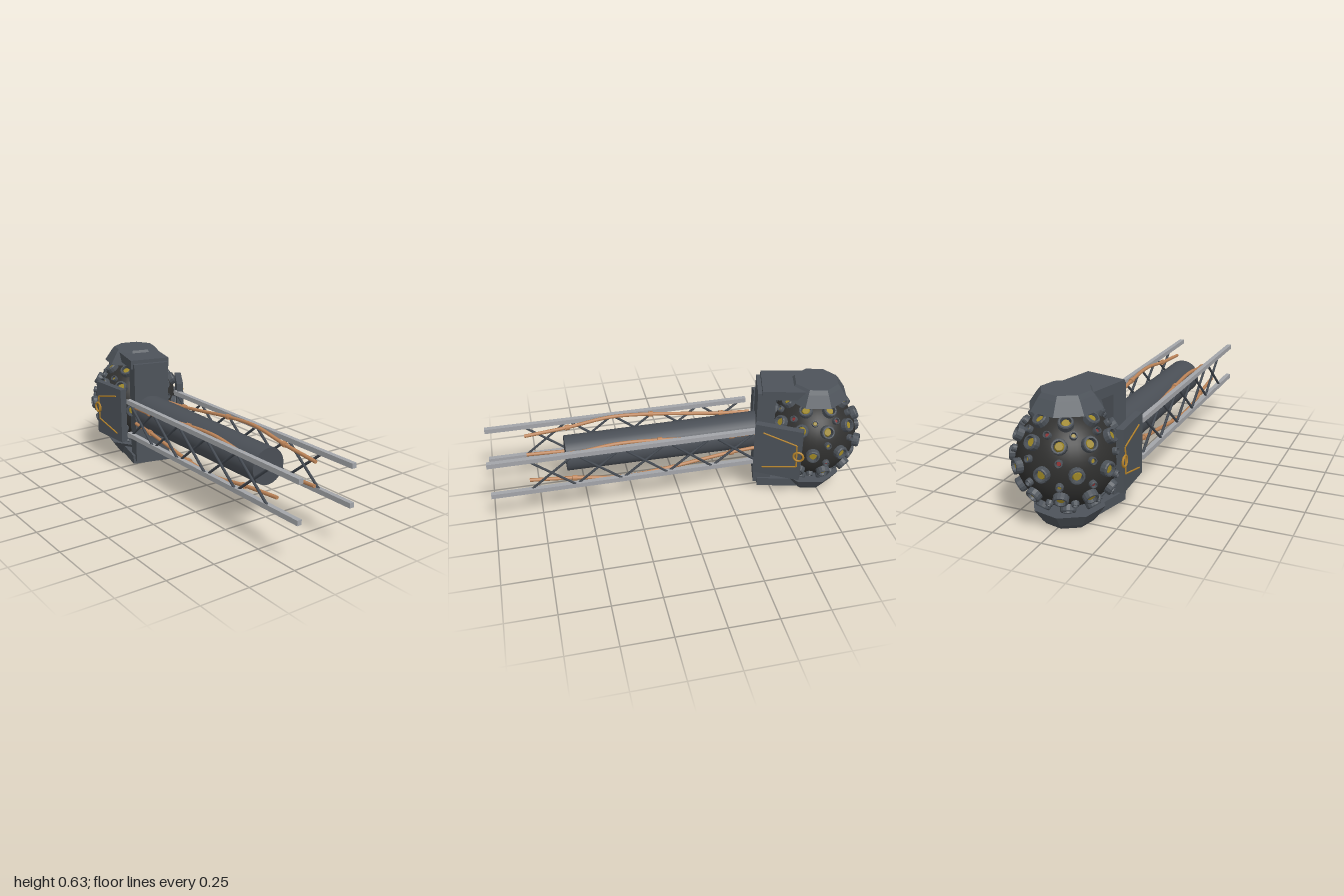
import * as THREE from 'three';

const mat = (name, color, opts = {}) => {
  const m = new THREE.MeshStandardMaterial({ color, ...opts });
  m.name = name;
  return m;
};
const slate = mat('slate armour', 0x4d535a, { flatShading: true });
const slateSmooth = mat('slate barrel', 0x4a4f56);
const hullDark = mat('dark hull', 0x30302f);
const railGrey = mat('rail grey', 0xa3a5a9);
const braceGrey = mat('brace grey', 0x434951);
const copper = mat('copper', 0xbd8458);
const gold = mat('gold trim', 0xb5832a);
const lensYellow = mat('yellow lens', 0x9c8626);
const lensRed = mat('red lens', 0x8c2f30);

const add = (parent, name, geo, material, x = 0, y = 0, z = 0) => {
  const m = new THREE.Mesh(geo, material);
  m.name = name;
  m.position.set(x, y, z);
  parent.add(m);
  return m;
};

// straight round bar between two points
const bar = (parent, name, a, b, r, material, sides = 8) => {
  const d = b.clone().sub(a);
  const m = add(parent, name, new THREE.CylinderGeometry(r, r, d.length(), sides), material);
  m.position.copy(a).add(b).multiplyScalar(0.5);
  m.quaternion.setFromUnitVectors(new THREE.Vector3(0, 1, 0), d.normalize());
  return m;
};
const v = (x, y, z) => new THREE.Vector3(x, y, z);

const CY = 0.3175, BX = -0.075;

// hollow collar standing on the hull, along +y
const collarGeo = new THREE.LatheGeometry(
  [[0.036, 0.215], [0.036, 0.258], [0.032, 0.264], [0.025, 0.264], [0.023, 0.23]]
    .map(([x, y]) => new THREE.Vector2(x, y)), 14);
const lensGeo = new THREE.CylinderGeometry(0.017, 0.025, 0.02, 14).translate(0, 0.243, 0);

function addPort(parent, lat, lon, size, lensMat) {
  const g = new THREE.Group();
  g.name = 'port';
  const dir = v(Math.cos(lat) * Math.sin(lon), Math.sin(lat), Math.cos(lat) * Math.cos(lon));
  g.quaternion.setFromUnitVectors(v(0, 1, 0), dir);
  g.scale.set(size, size < 1 ? 0.97 : 1, size);
  add(g, 'portCollar', collarGeo, slate);
  add(g, 'portLens', lensGeo, lensMat);
  parent.add(g);
}

// spherical body with its ports
function addBody(parent) {
  add(parent, 'sphereHull', new THREE.SphereGeometry(0.236, 40, 28), hullDark);
  const rows = [ // latitude, count, half-step offset, size
    [0, 10, 0, 1], [30, 10, 0.5, 1], [-30, 10, 0.5, 1], [55, 7, 0, 1], [-55, 7, 0, 1],
    [13, 10, 0.5, 0.5], [-13, 10, 0.5, 0.5], [41, 10, 0, 0.5], [-41, 10, 0, 0.5],
  ];
  rows.forEach(([lat, n, off, size]) => {
    for (let i = 0; i < n; i++) {
      const red = size < 1 && (i + (lat > 0 ? 1 : 0)) % 2 === 0;
      addPort(parent, lat * Math.PI / 180, (i + off) / n * Math.PI * 2 + 0.25, size,
        red ? lensRed : lensYellow);
    }
  });
}

// eight-sided cap and the arm that joins it to the front block
function addCap(parent, turn) {
  const g = new THREE.Group();
  g.name = turn ? 'bottomCap' : 'topCap';
  g.rotation.z = turn;
  const oct = (name, rt, rb, y0, y1) => {
    const m = add(g, name, new THREE.CylinderGeometry(rt, rb, y1 - y0, 8), slate, 0, (y0 + y1) / 2, 0);
    m.rotation.y = Math.PI / 8;
  };
  oct('capSkirt', 0.135, 0.175, 0.238, 0.297);
  oct('capTop', 0.118, 0.135, 0.297, 0.3175);
  add(g, 'capArm', new THREE.BoxGeometry(0.22, 0.049, 0.31), slate, 0, 0.28, 0.13);
  parent.add(g);
}

// side shield with inlaid trim
function addShield(parent, turn) {
  const side = new THREE.Group();
  side.name = turn ? 'rightShield' : 'leftShield';
  side.rotation.z = turn;
  const g = new THREE.Group();
  g.position.set(0.2035, 0, 0.195);
  g.rotation.y = -0.295;
  add(g, 'shieldPlate', new THREE.BoxGeometry(0.036, 0.305, 0.25), slate);
  const pts = [[0.11, 0.08], [0.066, -0.1], [-0.066, -0.106], [-0.107, 0.075]]
    .map(([y, z]) => v(0.019, y, z));
  for (let i = 0; i < 3; i++) bar(g, 'shieldTrim', pts[i], pts[i + 1], 0.0045, gold, 6);
  const ring = add(g, 'shieldRing', new THREE.TorusGeometry(0.026, 0.006, 8, 18), gold, 0.02, 0, -0.113);
  ring.rotation.y = Math.PI / 2;
  side.add(g);
  parent.add(side);
}

// square rails with crossed bracing
function addTruss(parent, x) {
  const g = new THREE.Group();
  g.name = x > 0 ? 'leftTruss' : 'rightTruss';
  const h = 0.095, bays = 5, z0 = 0.8, step = 0.24;
  [h, -h].forEach(y =>
    add(g, 'rail', new THREE.BoxGeometry(0.025, 0.025, 1.42), railGrey, x, CY + y, 0.29));
  for (let i = 0; i < bays; i++) {
    const a = z0 - i * step, b = a - step;
    bar(g, 'brace', v(x + 0.005, CY + h, a), v(x + 0.005, CY - h, b), 0.007, braceGrey, 6);
    bar(g, 'brace', v(x - 0.005, CY - h, a), v(x - 0.005, CY + h, b), 0.007, braceGrey, 6);
  }
  parent.add(g);
}

// bent conduit with clamps; sx and sy choose the quadrant around the barrel
function addConduit(parent, sx, sy) {
  const g = new THREE.Group();
  g.name = 'conduit';
  const pts = [ // offset x, offset y, z
    [0.113, 0.06, 0.8], [0.121, 0.077, 0.57], [0.126, 0.106, 0.34], [0.125, 0.095, 0.12],
    [0.12, 0.07, -0.1], [0.113, 0.053, -0.27], [0.106, 0.046, -0.43],
  ].map(([x, y, z]) => v(BX + sx * x, CY + sy * y, z));
  const path = new THREE.CatmullRomCurve3(pts);
  add(g, 'conduitTube', new THREE.TubeGeometry(path, 36, 0.0095, 8), copper);
  [0, 6].forEach(i => { // closed ends
    const e = add(g, 'conduitEnd', new THREE.CircleGeometry(0.0095, 8), copper);
    e.position.copy(pts[i]);
    if (i) e.rotation.y = Math.PI;
  });
  [1, 3, 5].forEach(i => {
    const d = pts[i + 1].clone().sub(pts[i - 1]).normalize().multiplyScalar(0.012);
    bar(g, 'conduitClamp', pts[i].clone().sub(d), pts[i].clone().add(d), 0.0145, copper, 10);
  });
  parent.add(g);
}

export function createModel() {
  const model = new THREE.Group();
  model.name = 'spaceCannon';

  // rear pod, turned slightly about the vertical
  const pod = new THREE.Group();
  pod.name = 'rearPod';
  pod.position.set(0, CY, -0.73);
  pod.rotation.y = -0.24;
  addBody(pod);
  [0, Math.PI].forEach(turn => { addCap(pod, turn); addShield(pod, turn); });
  add(pod, 'frontBlock', new THREE.BoxGeometry(0.196, 0.57, 0.095), slate, 0, 0, 0.26);
  model.add(pod);

  // barrel
  const barrel = add(model, 'barrel', new THREE.CylinderGeometry(0.093, 0.098, 1.04, 32), slateSmooth, BX, CY, 0.08);
  barrel.rotation.x = Math.PI / 2;

  [-0.232, 0.08].forEach(x => addTruss(model, x));
  [1, -1].forEach(sx => [1, -1].forEach(sy => addConduit(model, sx, sy)));
  return model;
}
